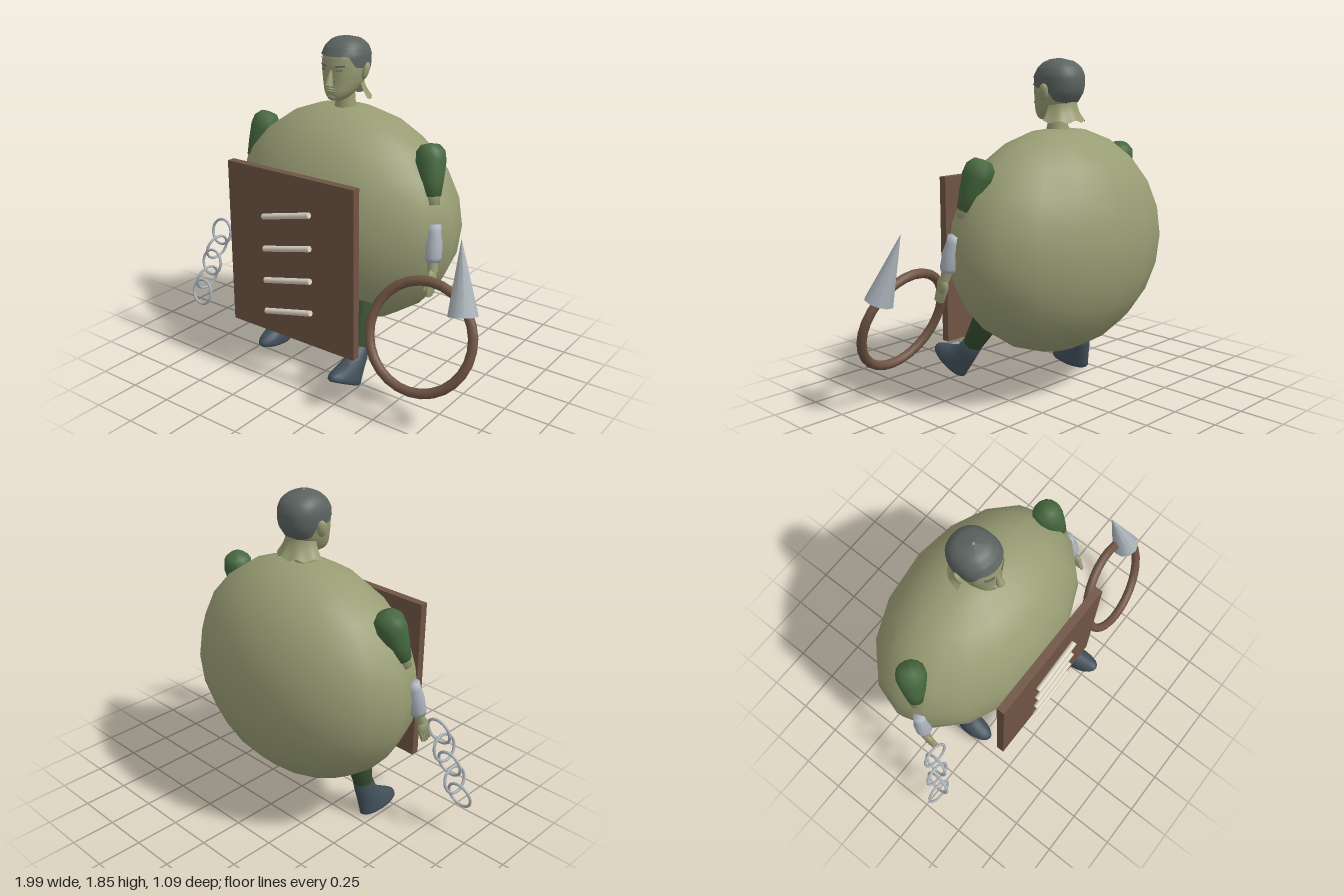
import * as THREE from 'three';

const CX = -0.08; // symmetry plane of the figure
const V = (x, y, z) => new THREE.Vector3(x, y, z);

function mat(name, color, side = THREE.FrontSide) {
  const m = new THREE.MeshStandardMaterial({ color, side });
  m.name = name;
  return m;
}

function add(parent, name, geo, material, pos) {
  const m = new THREE.Mesh(geo, material);
  m.name = name;
  if (pos) m.position.copy(pos);
  parent.add(m);
  return m;
}

// Grid surface from a rule f(u, v); u runs around, v runs upward
function surface(f, nu, nv) {
  const p = [], idx = [];
  for (let j = 0; j <= nv; j++) for (let i = 0; i <= nu; i++) p.push(...f(i / nu, j / nv));
  for (let j = 0; j < nv; j++) for (let i = 0; i < nu; i++) {
    const a = j * (nu + 1) + i, b = a + 1, c = a + nu + 1, d = c + 1;
    idx.push(a, b, d, a, d, c);
  }
  const g = new THREE.BufferGeometry();
  g.setAttribute('position', new THREE.Float32BufferAttribute(p, 3));
  g.setIndex(idx);
  g.computeVertexNormals();
  // Weld the normals along the closing seam
  const n = g.attributes.normal, q = V(0, 0, 0);
  for (let j = 0; j <= nv; j++) {
    const a = j * (nu + 1), b = a + nu;
    const at = k => V(p[k * 3], p[k * 3 + 1], p[k * 3 + 2]);
    if (at(a).distanceTo(at(b)) > 1e-5) continue;
    q.fromBufferAttribute(n, a).add(V(n.getX(b), n.getY(b), n.getZ(b))).normalize();
    n.setXYZ(a, q.x, q.y, q.z);
    n.setXYZ(b, q.x, q.y, q.z);
  }
  return g;
}

// Piecewise linear lookup: rows are [key, value, value...]
function lookup(rows, k) {
  let i = 0;
  while (i < rows.length - 2 && k > rows[i + 1][0]) i++;
  const t = THREE.MathUtils.clamp((k - rows[i][0]) / (rows[i + 1][0] - rows[i][0]), 0, 1);
  return rows[i].slice(1).map((v, n) => v + (rows[i + 1][n + 1] - v) * t);
}

// Turned limb from point a (bottom) to b (top); profile rows are [radius, fraction]
function limb(parent, name, material, a, b, profile, seg = 12) {
  const dir = b.clone().sub(a), len = dir.length();
  const geo = new THREE.LatheGeometry(profile.map(([r, t]) => new THREE.Vector2(r, t * len)), seg);
  const m = add(parent, name, geo, material, a);
  m.quaternion.setFromUnitVectors(V(0, 1, 0), dir.normalize());
  return m;
}

// Head rows: y, half width, front z, back z
const HEAD = [
  [1.525, 0.03, 0.055, -0.02], [1.54, 0.055, 0.083, -0.06], [1.575, 0.08, 0.086, -0.1],
  [1.62, 0.1, 0.082, -0.15], [1.67, 0.113, 0.082, -0.183], [1.71, 0.117, 0.082, -0.192],
  [1.76, 0.117, 0.074, -0.192], [1.8, 0.104, 0.05, -0.175], [1.83, 0.077, 0.018, -0.142],
  [1.846, 0.044, -0.018, -0.105], [1.852, 0.001, -0.059, -0.061],
];
function headPoint(a, y, grow = 0) {
  const [w, f, b] = lookup(HEAD, y);
  const pw = v => Math.sign(v) * Math.abs(v) ** 0.88;
  return [(w + grow) * pw(Math.sin(a)), y + grow * 0.6, (f + b) / 2 + ((f - b) / 2 + grow) * pw(Math.cos(a))];
}

function buildHead(skin, skinOpen, hair) {
  const g = new THREE.Group();
  g.name = 'head';
  g.position.x = CX;
  add(g, 'skull', surface((u, v) => headPoint(u * Math.PI * 2, 1.525 + v * 0.327), 36, 28), skin);
  add(g, 'jawUnderside', new THREE.SphereGeometry(0.05, 14, 8), skin, V(0, 1.54, 0.01)).scale.set(0.9, 0.3, 1);
  // Hair cap with a hairline that drops behind the ears
  const line = [[0, 1.757], [0.75, 1.762], [1.15, 1.7], [1.7, 1.69], [2.1, 1.63], [3.15, 1.61]];
  add(g, 'hair', surface((u, v) => {
    const a = u * Math.PI * 2, low = lookup(line, Math.min(a, Math.PI * 2 - a))[0];
    return headPoint(a, low + (1.852 - low) * v, 0.006);
  }, 40, 14), hair);
  limb(g, 'neck', skin, V(0, 1.44, -0.05), V(0, 1.6, -0.045), [[0.07, 0], [0.056, 0.4], [0.056, 1]], 16);
  // Flared skin at the nape with a ragged lower edge
  add(g, 'napeFlap', surface((u, v) => {
    const a = 1.6 + u * (Math.PI * 2 - 3.2), t = 1 - v;
    const r = 0.088 + 0.045 * t * t;
    return [r * Math.sin(a), 1.64 - 0.115 * t + 0.007 * t * Math.sin(a * 9), -0.06 + (r + 0.008) * Math.cos(a)];
  }, 28, 6), skinOpen);
  // Face
  const nose = new THREE.CylinderGeometry(0.008, 0.024, 0.085, 8);
  const n = add(g, 'nose', nose, skin, V(0, 1.65, 0.088));
  n.rotation.x = -0.27;
  add(g, 'noseTip', new THREE.SphereGeometry(0.018, 10, 8), skin, V(0, 1.618, 0.1)).scale.set(1.1, 0.7, 1);
  for (const [y, r] of [[1.592, 0.032], [1.58, 0.028]])
    add(g, 'lip', new THREE.SphereGeometry(r, 12, 8), skin, V(0, y, 0.082)).scale.set(1, 0.2, 0.4);
  add(g, 'chin', new THREE.SphereGeometry(0.032, 12, 8), skin, V(0, 1.548, 0.062)).scale.set(1.1, 0.7, 0.8);
  for (const s of [-1, 1]) {
    const brow = add(g, 'eyebrow', new THREE.BoxGeometry(0.055, 0.008, 0.009), hair, V(s * 0.05, 1.713, 0.07));
    brow.rotation.set(0, s * 0.45, s * 0.1);
    const eye = add(g, 'eye', new THREE.BoxGeometry(0.036, 0.006, 0.009), hair, V(s * 0.048, 1.692, 0.07));
    eye.rotation.y = s * 0.45;
    const ear = add(g, 'ear', new THREE.SphereGeometry(0.045, 12, 10), skin, V(s * 0.125, 1.68, -0.06));
    ear.scale.set(0.4, 1.05, 0.6);
    ear.rotation.set(-0.15, s * 0.4, -s * 0.2);
  }
  return g;
}

function buildArm(s, skin, shirt, cuff) {
  const g = new THREE.Group();
  g.name = s > 0 ? 'leftArm' : 'rightArm';
  const P = (dx, y, z) => V(CX + s * dx, y, z);
  limb(g, 'upperSleeve', shirt, P(0.61, 1.1, 0.025), P(0.545, 1.36, -0.045),
    [[0, 0], [0.044, 0], [0.062, 0.3], [0.08, 0.66], [0.076, 0.85], [0.05, 0.97], [0, 1]], 14);
  limb(g, 'elbow', skin, P(0.62, 1.06, 0.035), P(0.605, 1.12, 0.02), [[0, 0], [0.036, 0], [0.04, 1]]);
  limb(g, 'forearmSleeve', cuff, P(0.67, 0.78, 0.1), P(0.652, 0.97, 0.065),
    [[0, 0], [0.038, 0], [0.045, 0.12], [0.046, 0.5], [0.036, 0.8], [0.034, 1], [0, 1]]);
  limb(g, 'wrist', skin, P(0.68, 0.73, 0.115), P(0.67, 0.79, 0.1), [[0.026, 0], [0.03, 1]]);
  add(g, 'palm', new THREE.SphereGeometry(0.05, 12, 10), skin, P(0.682, 0.7, 0.128)).scale.set(0.42, 1, 0.78);
  const finger = [[0, 0], [0.008, 0.05], [0.011, 0.6], [0.012, 1]];
  for (let i = 0; i < 4; i++)
    limb(g, 'finger', skin, P(0.69, 0.6 + Math.abs(i - 1.4) * 0.008, 0.125 + i * 0.018),
      P(0.682, 0.69, 0.102 + i * 0.018), finger, 7);
  limb(g, 'thumb', skin, P(0.672, 0.645, 0.187), P(0.68, 0.71, 0.145), finger, 7);
  return g;
}

function buildLeg(s, trouser, boot) {
  const g = new THREE.Group();
  g.name = s > 0 ? 'leftLeg' : 'rightLeg';
  g.position.set(CX + s * 0.34, s > 0 ? 0.262 : 0.212, s > 0 ? 0.29 : 0.07);
  g.rotation.set(s > 0 ? -0.51 : -0.11, 0, s * 0.12);
  limb(g, 'trouserLeg', trouser, V(0, -0.02, 0), V(-s * 0.02, 0.34, 0), [[0.05, 0], [0.056, 0.1], [0.075, 0.5], [0.085, 1]]);
  // Boot rows: height, half width, front z, heel z
  const rows = [[0, 0.001, 0.085, 0.08], [0.002, 0.052, 0.2, -0.04], [0.012, 0.064, 0.215, -0.052], [0.035, 0.064, 0.212, -0.052],
    [0.06, 0.063, 0.185, -0.053], [0.1, 0.06, 0.125, -0.055], [0.14, 0.056, 0.078, -0.057], [0.205, 0.058, 0.058, -0.058], [0.21, 0.045, 0.045, -0.045]];
  add(g, 'boot', surface((u, v) => {
    const [y, w, f, b] = rows[Math.round(v * (rows.length - 1))], a = u * Math.PI * 2;
    return [w * Math.sin(a), y - 0.205, (f + b) / 2 + (f - b) / 2 * Math.cos(a)];
  }, 18, rows.length - 1), boot);
  return g;
}

export function createModel() {
  const root = new THREE.Group();
  root.name = 'roundGuardian';
  const skin = mat('skin', 0x999d74), skinOpen = skin.clone();
  skinOpen.side = THREE.DoubleSide;
  const hair = mat('hairGrey', 0x5b6360), shirt = mat('shirtGreen', 0x46683f);
  const cuff = mat('paleCuff', 0xaab2bc), trouser = mat('trouserGreen', 0x324a2c);
  const boot = mat('bootBlueGrey', 0x414f5a), wood = mat('brownWood', 0x6f5443);
  const bone = mat('ivory', 0xd9d2c0), steel = mat('steel', 0xa9b2b8);

  add(root, 'roundBody', new THREE.SphereGeometry(1, 16, 12), skin, V(CX, 0.87, -0.058)).scale.set(0.7, 0.62, 0.458);
  root.add(buildHead(skin, skinOpen, hair));
  for (const s of [-1, 1]) root.add(buildArm(s, skin, shirt, cuff), buildLeg(s, trouser, boot));

  // Door-like board with four slanted rods in front
  add(root, 'board', new THREE.BoxGeometry(0.836, 0.94, 0.046), wood, V(CX, 0.743, 0.425));
  for (let i = 0; i < 4; i++) {
    const rod = add(root, 'rod', new THREE.CylinderGeometry(0.016, 0.016, 0.32, 10), bone, V(-0.078, 0.995 - i * 0.184, 0.475));
    rod.rotation.z = -Math.PI / 2 + 0.235;
  }

  // Chain of interlocking rings hanging from the right hand
  const step = V(-0.0267, -0.0985, 0.021), d = step.clone().normalize();
  const n0 = V(0, 0.45, 1).addScaledVector(d, -V(0, 0.45, 1).dot(d)).normalize();
  const n1 = d.clone().cross(n0);
  for (let i = 0; i < 5; i++) {
    const n = i % 2 ? n1 : n0;
    const link = add(root, 'chainLink', new THREE.TorusGeometry(0.074, 0.008, 8, 24), steel,
      V(-0.807, 0.652, 0.21).addScaledVector(step, i));
    link.quaternion.setFromRotationMatrix(new THREE.Matrix4().makeBasis(d, n.clone().cross(d), n));
  }

  // Coiled whip ring ending in a spike
  const ring = add(root, 'whipRing', new THREE.TorusGeometry(0.282, 0.026, 10, 28), wood, V(0.685, 0.487, 0.362));
  ring.quaternion.setFromUnitVectors(V(0, 0, 1), V(0.11, 0.37, 1).normalize());
  limb(root, 'spike', steel, V(0.886, 0.635, 0.295), V(0.807, 0.995, 0.2), [[0, 0], [0.078, 0], [0.078, 0], [0, 1]], 10);
  return root;
}
